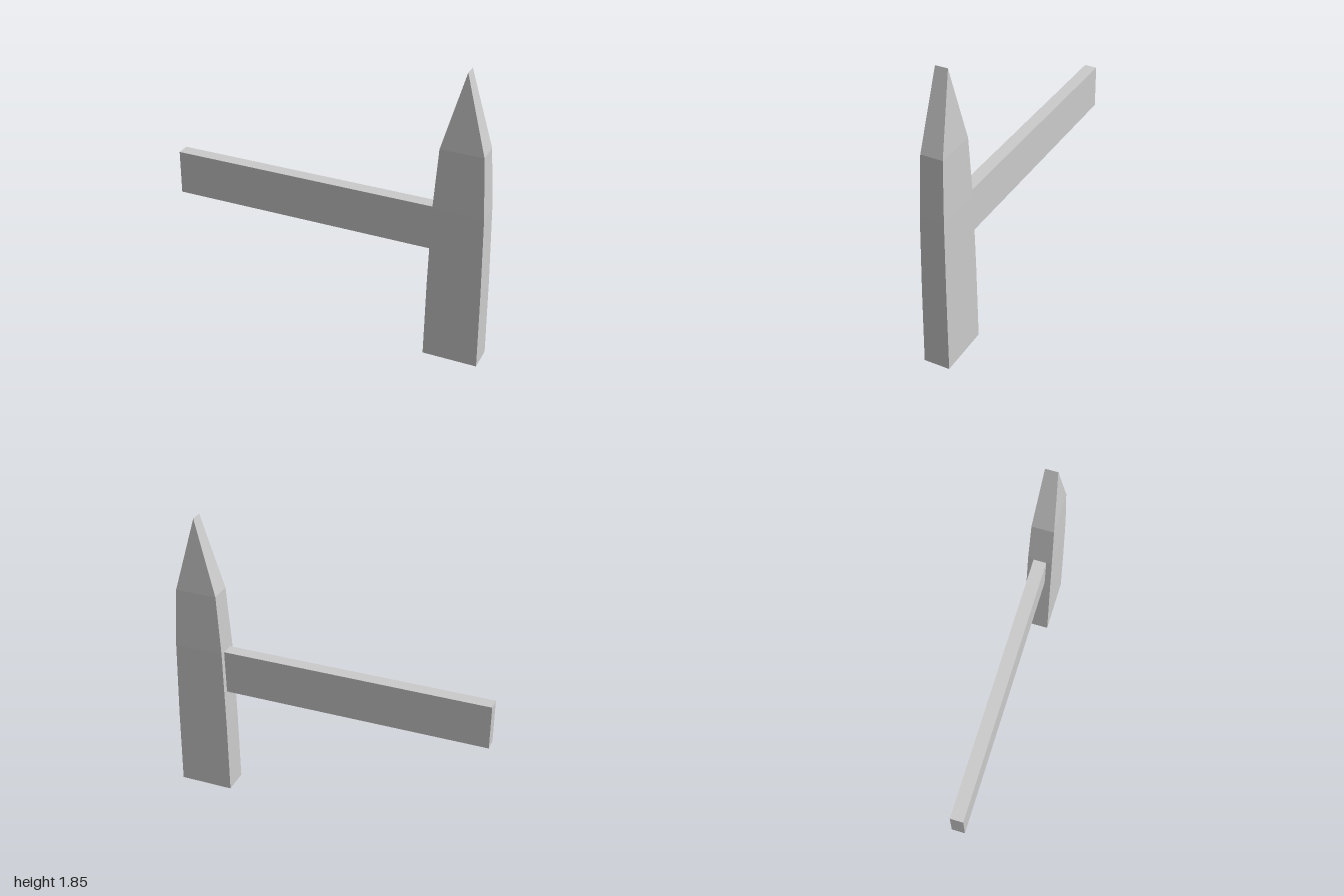
import * as THREE from 'three';

const material = new THREE.MeshStandardMaterial({ color: 0xcccccc, flatShading: true });

// Rectangular loft through sections [y, half width, half depth]
function loftRectangles(sections) {
  const positions = [];
  const index = [];
  for (const [y, w, d] of sections) {
    positions.push(w, y, d, w, y, -d, -w, y, -d, -w, y, d);
  }
  for (let s = 0; s < sections.length - 1; s++) {
    for (let i = 0; i < 4; i++) {
      const a = s * 4 + i;
      const b = s * 4 + (i + 1) % 4;
      index.push(a, b, b + 4, a, b + 4, a + 4);
    }
  }
  index.push(0, 2, 1, 0, 3, 2); // flat base; the top closes to an edge
  const geometry = new THREE.BufferGeometry();
  geometry.setAttribute('position', new THREE.Float32BufferAttribute(positions, 3));
  geometry.setIndex(index);
  const faceted = geometry.toNonIndexed();
  faceted.computeVertexNormals();
  return faceted;
}

export function createModel() {
  const group = new THREE.Group();
  group.name = 'hammer';

  // Head: flat striking face at the bottom, wedge-shaped peen at the top
  const head = new THREE.Mesh(loftRectangles([
    [0, 0.17, 0.082],
    [0.5, 0.165, 0.079],
    [1.0, 0.154, 0.075],
    [1.38, 0.13, 0.068],
    [1.85, 0, 0.038],
  ]), material);
  head.name = 'head';
  head.position.x = 0.83;

  // Handle: plain bar ending inside the head
  const handle = new THREE.Mesh(new THREE.BoxGeometry(1.7, 0.28, 0.08), material);
  handle.name = 'handle';
  handle.position.set(-0.15, 0.855, 0);

  group.add(head, handle);
  return group;
}
